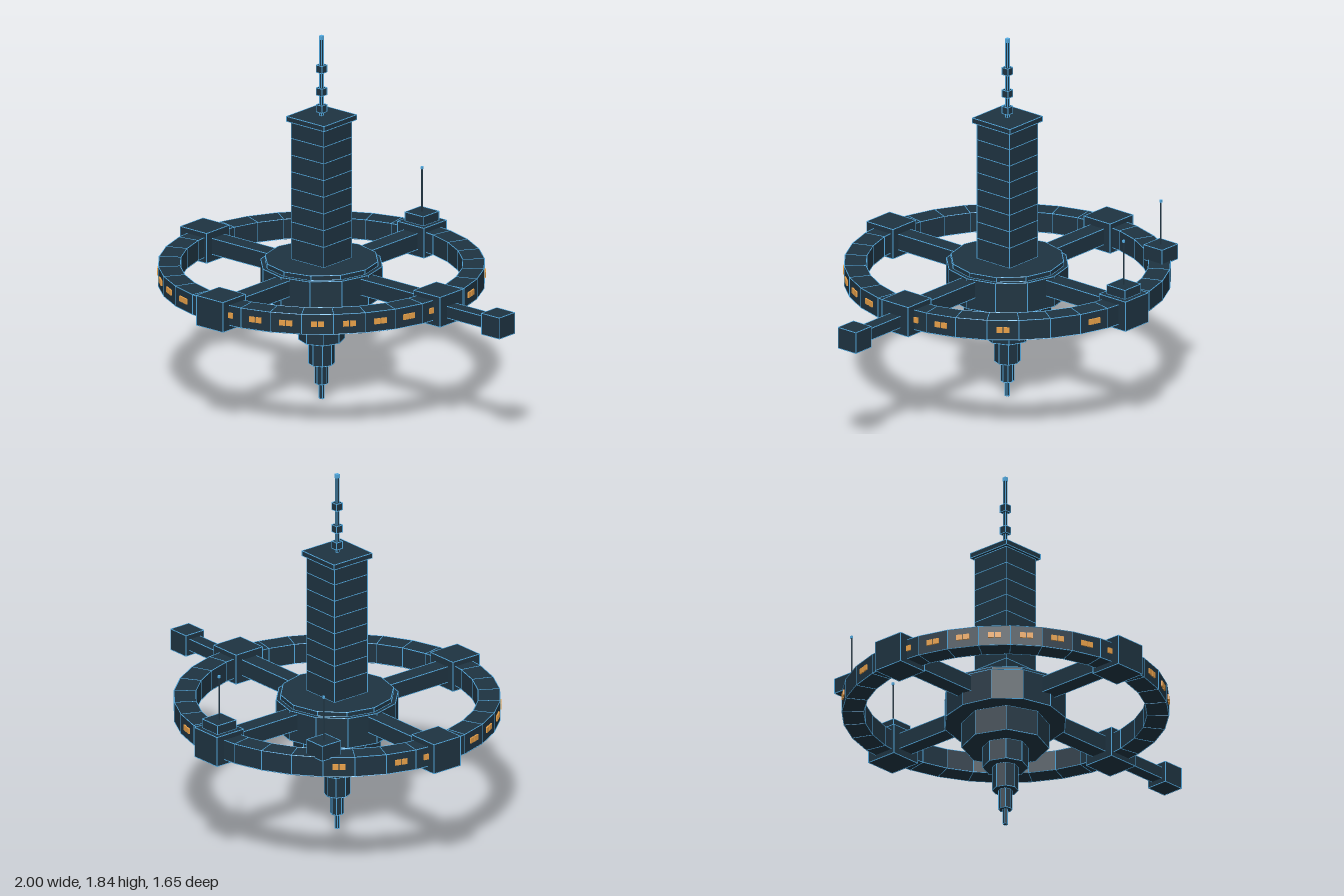
import * as THREE from 'three';
import { mergeGeometries } from 'three/addons/utils/BufferGeometryUtils.js';

const CX = -0.175; // station axis
const RING_Y = 0.635, RING_OUT = 0.785, RING_IN = 0.68, RING_H = 0.1, SEGMENTS = 32;
const STEP = (Math.PI * 2) / SEGMENTS;

const mat = (name, color, flatShading = false) => {
  const m = new THREE.MeshStandardMaterial({ color, flatShading });
  m.name = name;
  return m;
};

// Thin square bar between two points
function bar(a, b, t) {
  const d = new THREE.Vector3().subVectors(b, a);
  const g = new THREE.BoxGeometry(t, d.length() + t * 0.8, t);
  const q = new THREE.Quaternion().setFromUnitVectors(new THREE.Vector3(0, 1, 0), d.clone().normalize());
  return g.applyQuaternion(q).translate((a.x + b.x) / 2, (a.y + b.y) / 2, (a.z + b.z) / 2);
}

// Light strips along every sharp edge of a geometry
function edgeBars(geometry, t, angle) {
  const p = new THREE.EdgesGeometry(geometry, angle).attributes.position;
  const bars = [];
  for (let i = 0; i < p.count; i += 2) {
    bars.push(bar(new THREE.Vector3().fromBufferAttribute(p, i), new THREE.Vector3().fromBufferAttribute(p, i + 1), t));
  }
  return mergeGeometries(bars);
}

export function createModel() {
  const hull = mat('dark slate hull', 0x1e3341, true);
  const trim = mat('blue edge trim', 0x55aee6);
  const glow = mat('amber window', 0xe8a048);

  const model = new THREE.Group();
  model.name = 'spaceStation';
  const station = new THREE.Group();
  station.name = 'station';
  station.position.x = CX;
  model.add(station);

  const add = (name, geometry, material = hull) => {
    const mesh = new THREE.Mesh(geometry, material);
    mesh.name = name;
    station.add(mesh);
  };
  const trimmed = (name, geometry, angle = 20) => {
    add(name, geometry);
    add(name + 'Trim', edgeBars(geometry, 0.003, angle), trim);
  };
  // Box given by its bottom and top heights
  const box = (w, d, y0, y1, x = 0, z = 0) =>
    new THREE.BoxGeometry(w, y1 - y0, d).translate(x, (y0 + y1) / 2, z);
  const drum = (r, y0, y1, sides) =>
    new THREE.CylinderGeometry(r, r, y1 - y0, sides).translate(0, (y0 + y1) / 2, 0);

  // Central drum and the tiers stepping down to the keel spike
  [
    ['drumTop', 0.275, 0.685, 0.708, 12],
    ['mainDrum', 0.297, 0.532, 0.685, 12],
    ['lowerTier1', 0.21, 0.405, 0.532, 8],
    ['lowerTier2', 0.11, 0.3, 0.405, 8],
    ['lowerTier3', 0.062, 0.178, 0.3, 8],
    ['lowerTier4', 0.032, 0.077, 0.178, 8],
    ['keelSpike', 0.012, 0, 0.077, 6],
  ].forEach(([name, r, y0, y1, sides]) => trimmed(name, drum(r, y0, y1, sides)));

  // Tower with floor bands and roof slab
  trimmed('tower', box(0.206, 0.206, 0.708, 1.403));
  const bands = [];
  for (let i = 1; i <= 7; i++) {
    const y = 1.403 - i * 0.0845;
    bands.push(box(0.209, 0.209, y - 0.0015, y + 0.0015));
  }
  add('towerBands', mergeGeometries(bands), trim);
  trimmed('towerRoof', box(0.238, 0.238, 1.405, 1.43));

  // Roof mast with its beads
  trimmed('mast', box(0.013, 0.013, 1.43, 1.82));
  for (const y of [1.468, 1.553, 1.668]) trimmed('mastNode', box(0.036, 0.036, y - 0.018, y + 0.018));
  add('mastTip', box(0.018, 0.018, 1.815, 1.835), trim);

  // Habitat ring: closed square section turned in flat segments
  const y0 = RING_Y - RING_H / 2, y1 = RING_Y + RING_H / 2;
  const section = [[RING_OUT, y0], [RING_OUT, y1], [RING_IN, y1], [RING_IN, y0], [RING_OUT, y0]];
  const ring = new THREE.LatheGeometry(section.map(([r, y]) => new THREE.Vector2(r, y)), SEGMENTS);
  trimmed('ring', ring, 5);

  // Radial seams across the ring's top and bottom
  const seams = [];
  for (let i = 0; i < SEGMENTS; i++) {
    for (const y of [y0, y1]) {
      seams.push(new THREE.BoxGeometry(0.003, 0.003, RING_OUT - RING_IN)
        .translate(0, y, (RING_OUT + RING_IN) / 2).rotateY(i * STEP));
    }
  }
  add('ringSeams', mergeGeometries(seams), trim);

  // Paired windows; segments counted from the front towards +x, some at the back unlit
  const unlit = new Set([10, 12, 13, 15, 16, 17, 18, 19, 21]);
  const panes = [];
  const faceR = RING_OUT * Math.cos(STEP / 2);
  for (let i = 0; i < SEGMENTS; i++) {
    if (unlit.has(i)) continue;
    for (const s of [-1, 1]) {
      panes.push(new THREE.BoxGeometry(0.029, 0.027, 0.009)
        .translate(s * 0.017, RING_Y + 0.002, faceR + 0.003).rotateY((i + 0.5) * STEP));
    }
  }
  add('windows', mergeGeometries(panes), glow);

  // Four spokes and the junction blocks on the ring
  for (let i = 0; i < 4; i++) {
    const a = (i * Math.PI) / 2;
    trimmed('spoke', box(0.086, 0.42, 0.595, 0.675, 0, 0.46).rotateY(a));
    trimmed('junctionBlock', box(0.166, 0.166, 0.56, 0.71, 0, 0.739).rotateY(a));
  }

  // Docking arm on the left side
  trimmed('dockingArm', box(0.26, 0.064, 0.594, 0.652, 0.94, 0));
  trimmed('dockingPod', box(0.112, 0.112, 0.57, 0.676, 1.118, 0));

  // Antenna stations on the ring and on the rear block
  for (const [x, z, base] of [[-0.522, -0.522, 0.68], [0, -0.739, 0.71]]) {
    trimmed('antennaBase', box(0.115, 0.115, base, 0.756, x, z));
    add('antenna', new THREE.CylinderGeometry(0.004, 0.004, 0.22, 6).translate(x, 0.866, z));
    add('antennaTip', box(0.01, 0.01, 0.972, 0.985, x, z), trim);
  }
  return model;
}
